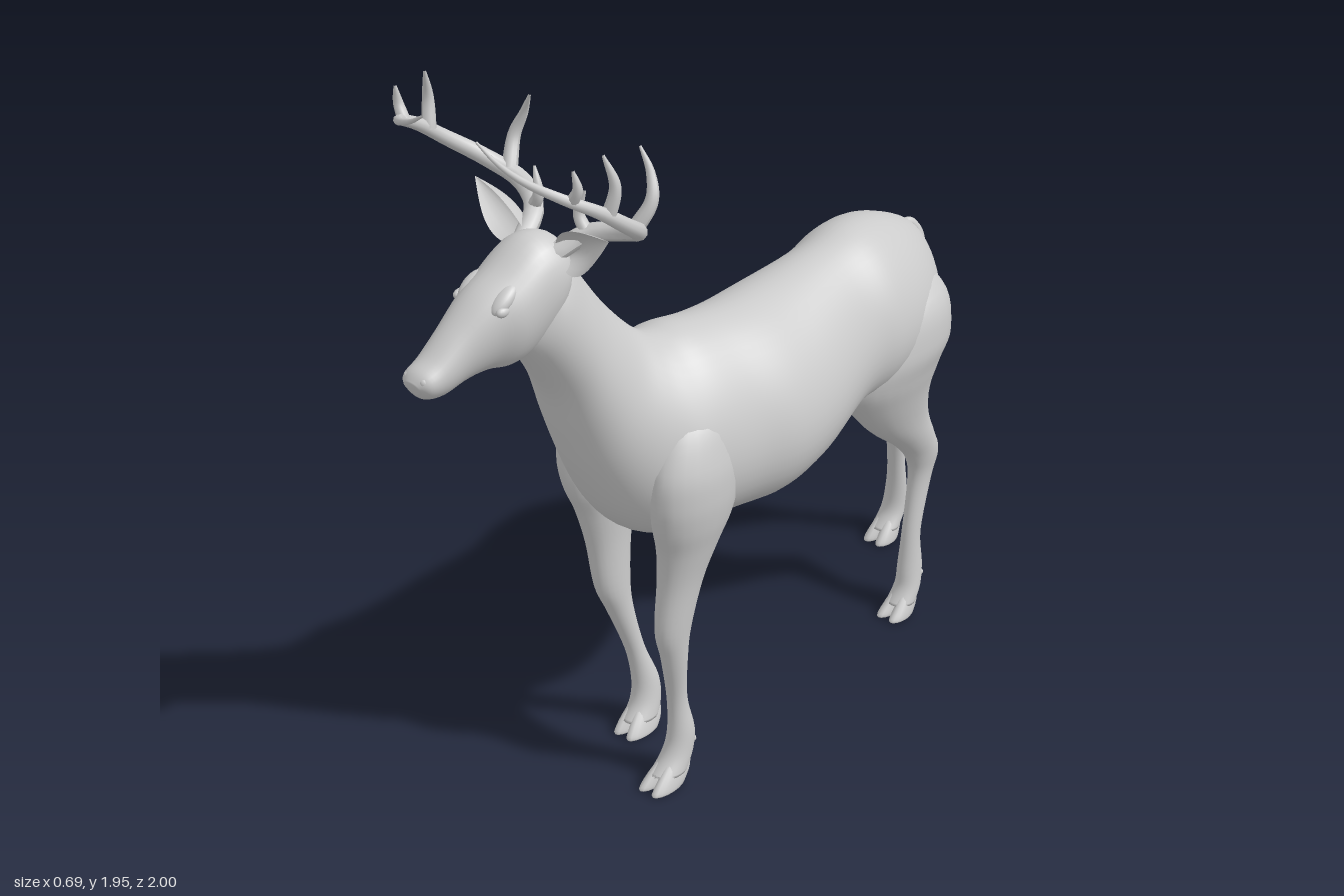
import * as THREE from 'three';

const mat = new THREE.MeshStandardMaterial({ color: 0xcccccc, roughness: 0.8 });
const sheetMat = new THREE.MeshStandardMaterial({ color: 0xcccccc, roughness: 0.8, side: THREE.DoubleSide });
const V = (x, y, z) => new THREE.Vector3(x, y, z);

function add(parent, name, geo, material = mat) {
  const m = new THREE.Mesh(geo, material);
  m.name = name;
  parent.add(m);
  return m;
}

// Smoothly subdivides a list of cross-section rows (Catmull-Rom per column)
function refine(rows, steps) {
  const out = [];
  const at = i => rows[Math.min(Math.max(i, 0), rows.length - 1)];
  for (let i = 0; i < rows.length - 1; i++) {
    for (let s = 0; s < steps; s++) {
      const t = s / steps;
      out.push(rows[i].map((p, k) => {
        const a = at(i - 1)[k], c = rows[i + 1][k], d = at(i + 2)[k];
        return p + 0.5 * t * (c - a + t * (2 * a - 5 * p + 4 * c - d + t * (3 * (p - c) + d - a)));
      }));
    }
  }
  out.push(rows[rows.length - 1]);
  return out;
}

// Closed skin over oval sections; row = [z1, y1, z2, y2, centreX, halfWidth].
// egg > 0 narrows the first edge of each section and widens the second.
function loft(rows, sides = 32, steps = 5, egg = 0) {
  const rings = refine(rows, steps), pos = [], idx = [];
  for (const [z1, y1, z2, y2, cx, hw] of rings) {
    for (let j = 0; j < sides; j++) {
      const a = (j / sides) * Math.PI * 2, c = Math.cos(a) / 2;
      pos.push(cx + hw * Math.sin(a) * (1 - 2 * egg * c), (y1 + y2) / 2 + c * (y1 - y2), (z1 + z2) / 2 + c * (z1 - z2));
    }
  }
  const last = (rings.length - 1) * sides, n = rings.length * sides;
  for (const [z1, y1, z2, y2, cx] of [rings[0], rings[rings.length - 1]]) pos.push(cx, (y1 + y2) / 2, (z1 + z2) / 2);
  for (let j = 0; j < sides; j++) {
    const k = (j + 1) % sides;
    for (let i = 0; i < last; i += sides) idx.push(i + j, i + sides + j, i + k, i + k, i + sides + j, i + sides + k);
    idx.push(n, j, k, n + 1, last + k, last + j);
  }
  const g = new THREE.BufferGeometry();
  g.setAttribute('position', new THREE.Float32BufferAttribute(pos, 3));
  g.setIndex(idx);
  g.computeVertexNormals();
  return g;
}

// Tube whose radius follows a function of its length
function taperTube(points, radius, segs = 32, sides = 10) {
  const curve = new THREE.CatmullRomCurve3(points);
  const g = new THREE.TubeGeometry(curve, segs, 1, sides);
  const p = g.attributes.position, v = V(0, 0, 0);
  for (let i = 0; i < p.count; i++) {
    const t = Math.floor(i / (sides + 1)) / segs, c = curve.getPointAt(t);
    v.fromBufferAttribute(p, i).sub(c).multiplyScalar(radius(t)).add(c);
    p.setXYZ(i, v.x, v.y, v.z);
  }
  g.computeVertexNormals();
  return g;
}

// Leg from horizontal slices [y, frontZ, backZ, centreX, halfWidth], ending in a cloven hoof
function addLeg(parent, name, slices) {
  const leg = new THREE.Group();
  leg.name = name;
  parent.add(leg);
  const rows = slices.map(([y, f, b, x, w]) => [f, y, b, y, x, w]);
  add(leg, 'limb', loft(rows.slice(0, -1), 24));
  for (const s of [-1, 1]) {
    // Each toe starts hidden inside the limb and rounds off at the sole
    const [top, mid, low] = rows.slice(-3);
    const toe = [[top, 0.3, 0.4, 0], [mid, 0.46, 0.5, 0], [low, 0.5, 0.5, 0.006], [low, 0.5, 0.36, 0]]
      .map(([[f, y, b, , x, w], off, half, lift], i) => {
        const inset = i === 0 || i === 3 ? 0.012 : 0;
        return [f - inset, y + lift, b + inset, y + lift, x + s * w * off, w * half];
      });
    add(leg, 'hoof', loft(toe, 16, 4));
    const [, y, b, , x] = rows[rows.length - 4];
    const claw = add(leg, 'dewclaw', new THREE.SphereGeometry(0.009, 10, 8));
    claw.position.set(x + s * 0.014, y - 0.04, b + 0.008);
  }
}

export function createModel() {
  const deer = new THREE.Group();
  deer.name = 'deer';

  // Torso and neck, from rump to nape
  add(deer, 'body', loft([
    [-0.81, 1.08, -0.80, 0.98, 0.0, 0.035],
    [-0.78, 1.13, -0.775, 0.88, 0.01, 0.11],
    [-0.70, 1.18, -0.70, 0.80, 0.025, 0.17],
    [-0.60, 1.22, -0.58, 0.78, 0.035, 0.207],
    [-0.48, 1.24, -0.46, 0.77, 0.055, 0.207],
    [-0.35, 1.225, -0.35, 0.765, 0.067, 0.193],
    [-0.15, 1.21, -0.15, 0.71, 0.077, 0.234],
    [0.00, 1.215, 0.00, 0.685, 0.087, 0.24],
    [0.12, 1.225, 0.13, 0.69, 0.08, 0.226],
    [0.21, 1.235, 0.25, 0.70, 0.067, 0.225],
    [0.27, 1.235, 0.37, 0.715, 0.062, 0.21],
    [0.32, 1.255, 0.45, 0.79, 0.055, 0.173],
    [0.37, 1.30, 0.515, 0.92, 0.038, 0.14],
    [0.44, 1.385, 0.56, 1.05, 0.023, 0.122],
    [0.50, 1.475, 0.60, 1.18, 0.013, 0.11],
    [0.55, 1.55, 0.67, 1.30, 0.008, 0.096],
    [0.60, 1.58, 0.70, 1.34, 0.0, 0.07],
  ], 48, 5, 0.17));

  // Head, from the back of the skull to the nose
  const head = new THREE.Group();
  head.name = 'head';
  deer.add(head);
  add(head, 'skull', loft([
    [0.545, 1.55, 0.56, 1.46, 0.01, 0.05],
    [0.58, 1.605, 0.61, 1.37, 0.007, 0.088],
    [0.65, 1.615, 0.68, 1.315, 0.0, 0.098],
    [0.74, 1.56, 0.735, 1.305, -0.005, 0.095],
    [0.81, 1.518, 0.79, 1.312, -0.015, 0.076],
    [0.88, 1.455, 0.85, 1.305, -0.025, 0.06],
    [0.94, 1.40, 0.915, 1.29, -0.032, 0.053],
    [0.98, 1.373, 0.965, 1.297, -0.037, 0.046],
    [0.997, 1.35, 0.985, 1.318, -0.04, 0.024],
  ], 32, 5, -0.14));
  for (const s of [-1, 1]) {
    const eye = add(head, 'eye', new THREE.SphereGeometry(0.018, 16, 12));
    eye.scale.set(0.7, 0.75, 1.1);
    eye.position.set(-0.01 + s * 0.07, 1.488, 0.785);
    const brow = add(head, 'brow', new THREE.SphereGeometry(0.04, 20, 14));
    brow.scale.set(0.6, 0.5, 1.2);
    brow.rotation.x = 0.6;
    brow.position.set(-0.008 + s * 0.053, 1.508, 0.765);
    const nostril = add(head, 'nostril', new THREE.SphereGeometry(0.014, 12, 10));
    nostril.position.set(-0.038 + s * 0.025, 1.352, 0.975);
  }

  // Ears and antlers, turned slightly with the head
  const crown = new THREE.Group();
  crown.name = 'earsAndAntlers';
  crown.position.z = 0.59;
  crown.rotation.y = -0.09;
  deer.add(crown);
  for (const s of [-1, 1]) {
    const ear = new THREE.PlaneGeometry(1, 2, 14, 10), p = ear.attributes.position;
    for (let i = 0; i < p.count; i++) {
      const u = p.getX(i) + 0.5, v = p.getY(i);
      const w = 0.055 * Math.sin(Math.PI * (0.15 + 0.85 * Math.pow(u, 0.9)));
      p.setXYZ(i, s * (0.065 + 0.175 * u - 0.45 * v * w), 1.56 + 0.105 * u + 0.89 * v * w,
        -0.01 + 0.01 * u + 1.1 * w * (v * v - 0.55));
    }
    ear.computeVertexNormals();
    add(crown, 'ear', ear, sheetMat);

    const horn = (name, pts, r0, r1) => add(crown, name, taperTube(
      pts.map(([x, y, z]) => V(s * x, y, z - 0.59)), t => r0 + (r1 - r0) * Math.pow(t, 1.8)));
    horn('antlerBeam', [[0.055, 1.57, 0.6], [0.095, 1.612, 0.53], [0.19, 1.64, 0.49], [0.27, 1.68, 0.525],
      [0.316, 1.745, 0.61], [0.321, 1.805, 0.69], [0.29, 1.853, 0.77], [0.215, 1.89, 0.825], [0.15, 1.92, 0.845],
      [0.095, 1.955, 0.855]], 0.025, 0.003);
    horn('browTine', [[0.1, 1.61, 0.53], [0.072, 1.66, 0.535], [0.09, 1.725, 0.53]], 0.017, 0.003);
    horn('backTine', [[0.22, 1.65, 0.5], [0.245, 1.73, 0.46], [0.225, 1.79, 0.445], [0.195, 1.85, 0.45]], 0.02, 0.003);
    horn('middleTine', [[0.32, 1.785, 0.66], [0.332, 1.86, 0.65], [0.315, 1.94, 0.67]], 0.018, 0.003);
    horn('upperTine', [[0.3, 1.845, 0.75], [0.318, 1.88, 0.75], [0.315, 1.93, 0.76]], 0.015, 0.003);
  }

  // Front legs: the right one stands further back and leans inward
  const frontLeg = [
    [1.15, 0.28, 0.20, 0.12, 0.02], [1.06, 0.365, 0.15, 0.188, 0.062], [0.95, 0.425, 0.15, 0.21, 0.086],
    [0.86, 0.435, 0.16, 0.218, 0.086], [0.78, 0.425, 0.18, 0.217, 0.078],
    [0.70, 0.405, 0.22, 0.21, 0.065], [0.60, 0.40, 0.265, 0.203, 0.051], [0.47, 0.41, 0.303, 0.20, 0.041],
    [0.38, 0.39, 0.315, 0.20, 0.033], [0.25, 0.365, 0.31, 0.195, 0.026], [0.15, 0.367, 0.29, 0.20, 0.033],
    [0.09, 0.388, 0.297, 0.20, 0.037], [0.045, 0.43, 0.32, 0.20, 0.041], [0.008, 0.46, 0.345, 0.20, 0.044],
  ];
  addLeg(deer, 'frontLegLeft', frontLeg);
  addLeg(deer, 'frontLegRight', frontLeg.map(([y, f, b, x, w]) => {
    const dz = Math.min(0, -0.145 + 0.19 * y);
    return [y, f + dz, b + dz, -0.02 - 0.08 * Math.min(y, 0.92) / 0.92 + 0.38 * Math.max(0, y - 0.92), w];
  }));

  // Hind legs in mid stride
  addLeg(deer, 'hindLegLeft', [
    [1.15, -0.54, -0.64, 0.06, 0.03], [1.03, -0.43, -0.745, 0.125, 0.11], [0.91, -0.37, -0.765, 0.147, 0.118],
    [0.82, -0.36, -0.73, 0.148, 0.1], [0.74, -0.41, -0.705, 0.145, 0.08], [0.64, -0.50, -0.715, 0.14, 0.058],
    [0.55, -0.61, -0.755, 0.135, 0.044], [0.48, -0.67, -0.785, 0.13, 0.036], [0.40, -0.69, -0.765, 0.125, 0.029],
    [0.25, -0.665, -0.72, 0.13, 0.025], [0.15, -0.65, -0.725, 0.132, 0.031], [0.09, -0.64, -0.715, 0.135, 0.035],
    [0.045, -0.61, -0.69, 0.135, 0.039], [0.008, -0.58, -0.67, 0.135, 0.042],
  ]);
  addLeg(deer, 'hindLegRight', [
    [1.15, -0.54, -0.64, 0.0, 0.03], [1.03, -0.44, -0.745, -0.055, 0.105], [0.91, -0.40, -0.77, -0.073, 0.108],
    [0.82, -0.43, -0.765, -0.085, 0.092], [0.74, -0.52, -0.775, -0.10, 0.075], [0.66, -0.60, -0.81, -0.115, 0.058],
    [0.59, -0.69, -0.86, -0.12, 0.046], [0.53, -0.765, -0.922, -0.12, 0.04], [0.46, -0.85, -0.935, -0.115, 0.034],
    [0.38, -0.895, -0.945, -0.118, 0.028], [0.25, -0.922, -0.973, -0.13, 0.025], [0.15, -0.933, -0.997, -0.142, 0.031],
    [0.09, -0.925, -0.995, -0.147, 0.035], [0.045, -0.89, -0.965, -0.147, 0.039], [0.008, -0.865, -0.95, -0.147, 0.042],
  ]);

  // Tail hanging over the rump
  add(deer, 'tail', taperTube(
    [V(0, 1.09, -0.75), V(0, 1.112, -0.80), V(0, 1.065, -0.836), V(0, 0.97, -0.84), V(0, 0.88, -0.838)],
    t => 0.003 + 0.024 * Math.pow(Math.sin(Math.PI * Math.pow(t, 1.5)), 0.7), 28, 14));

  return deer;
}
